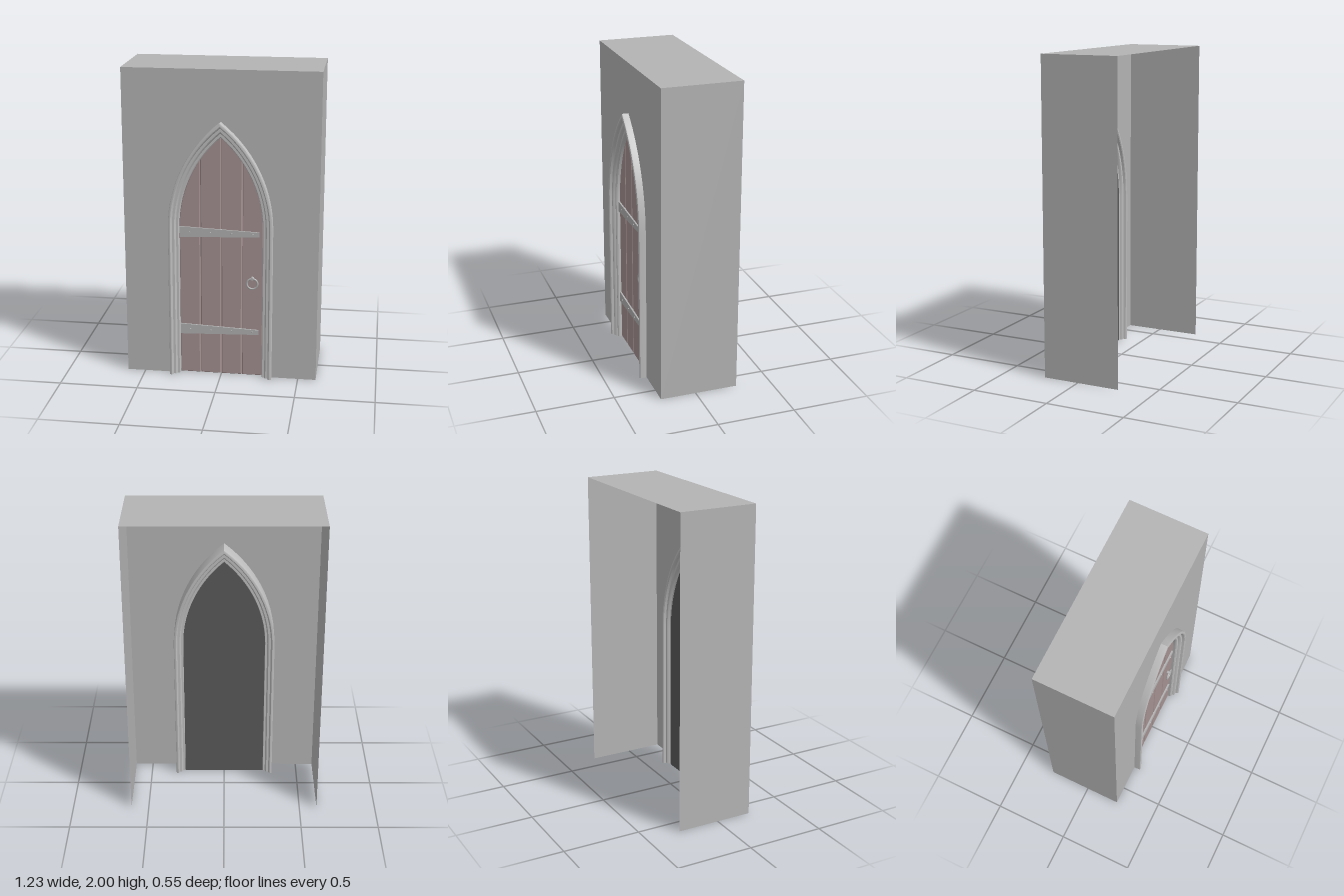
import * as THREE from 'three';
import { toCreasedNormals } from 'three/addons/utils/BufferGeometryUtils.js';

const SPRING = 1.0, INNER = 0.265, OUTER = 0.33, STEPS = 14;
const HALF_WIDTH = 0.615, FRONT = 0.23, BACK = -0.275, TOP = 2;

const mat = (name, color) => {
  const m = new THREE.MeshStandardMaterial({ color, side: THREE.DoubleSide });
  m.name = name;
  return m;
};

// Rise and radius of the pointed arch for a given half width
function archSize(w) {
  const h = 0.58 + (w - INNER) * 1.54;
  return { h, r: (w * w + h * h) / (2 * w) };
}

// Outline of the arch from the +x foot over the apex to the -x foot
function archPoints(w) {
  const { r } = archSize(w);
  const end = Math.acos((r - w) / r);
  const half = [new THREE.Vector2(w, 0)];
  for (let i = 0; i <= STEPS; i++) {
    const a = (end * i) / STEPS;
    half.push(new THREE.Vector2(w - r + r * Math.cos(a), SPRING + r * Math.sin(a)));
  }
  const mirrored = half.slice(0, -1).reverse().map((p) => new THREE.Vector2(-p.x, p.y));
  return [...half, ...mirrored];
}

// Height of the arch above a given x
function archHeight(w, x) {
  const { r } = archSize(w);
  const d = Math.abs(x) + r - w;
  return SPRING + Math.sqrt(Math.max(0, r * r - d * d));
}

// Sweep a closed (half width, z) profile along the arch
function archSweep(profile) {
  const rows = profile.map(([w]) => archPoints(w));
  const n = rows[0].length, pos = [], index = [];
  profile.forEach(([, z], i) => rows[i].forEach((p) => pos.push(p.x, p.y, z)));
  for (let i = 0; i < profile.length; i++) {
    const k = (i + 1) % profile.length;
    for (let j = 0; j < n - 1; j++) {
      const a = i * n + j, b = k * n + j;
      index.push(a, a + 1, b, b, a + 1, b + 1);
    }
  }
  const g = new THREE.BufferGeometry();
  g.setAttribute('position', new THREE.Float32BufferAttribute(pos, 3));
  g.setIndex(index);
  return toCreasedNormals(g, 0.5);
}

export function createModel() {
  const stone = mat('wall stone', 0xb3b3b3);
  const trim = mat('frame stone', 0xbebebe);
  const wood = mat('door wood', 0xa39090);
  const iron = mat('iron', 0xb1b1b1);
  const dark = mat('door backing', 0x595959);

  const model = new THREE.Group();
  model.name = 'archedDoorway';
  const add = (name, geometry, material, parent = model) => {
    const mesh = new THREE.Mesh(geometry, material);
    mesh.name = name;
    parent.add(mesh);
    return mesh;
  };

  // Wall: front with arched opening, two sides and a top; back and floor stay open
  const wall = new THREE.Group();
  wall.name = 'wall';
  model.add(wall);
  const face = new THREE.Shape([
    new THREE.Vector2(-HALF_WIDTH, 0), new THREE.Vector2(-HALF_WIDTH, TOP),
    new THREE.Vector2(HALF_WIDTH, TOP), new THREE.Vector2(HALF_WIDTH, 0),
    ...archPoints(OUTER - 0.005),
  ]);
  add('wallFront', new THREE.ShapeGeometry(face), stone, wall).position.z = FRONT;
  const depth = FRONT - BACK, midZ = (FRONT + BACK) / 2;
  for (const s of [-1, 1]) {
    const side = add(s > 0 ? 'wallLeft' : 'wallRight', new THREE.PlaneGeometry(depth, TOP), stone, wall);
    side.rotation.y = (s * Math.PI) / 2;
    side.position.set(s * HALF_WIDTH, TOP / 2, midZ);
  }
  const top = add('wallTop', new THREE.PlaneGeometry(2 * HALF_WIDTH, depth), stone, wall);
  top.rotation.x = -Math.PI / 2;
  top.position.set(0, TOP, midZ);

  // Moulded frame, stepped alike on its front and back
  const mid = 0.195;
  const frontHalf = [
    [INNER, 0.035], [0.27, 0.043], [0.283, 0.043], [0.287, 0.055], [0.292, 0.06],
    [0.306, 0.06], [0.31, 0.075], [0.315, 0.08], [0.322, 0.08], [0.328, 0.077], [OUTER, 0.07],
  ];
  const profile = [
    ...frontHalf.map(([w, z]) => [w, mid + z]),
    ...frontHalf.slice().reverse().map(([w, z]) => [w, mid - z]),
  ];
  const frame = new THREE.Group();
  frame.name = 'frame';
  model.add(frame);
  add('frameMoulding', archSweep(profile), trim, frame);
  const foot = new THREE.Shape(profile.map(([w, z]) => new THREE.Vector2(w, z)));
  for (const s of [-1, 1]) {
    const cap = add('frameFoot', new THREE.ShapeGeometry(foot).rotateX(Math.PI / 2), trim, frame);
    cap.scale.x = s;
  }

  // Door: four bevelled planks on a dark backing
  const door = new THREE.Group();
  door.name = 'door';
  model.add(door);
  const doorW = 0.268, edges = [-doorW, -0.134, 0, 0.134, doorW];
  for (let i = 0; i < 4; i++) {
    const x0 = edges[i] + (i > 0 ? 0.002 : 0), x1 = edges[i + 1] - (i < 3 ? 0.002 : 0);
    const pts = [new THREE.Vector2(x0, 0), new THREE.Vector2(x1, 0)];
    for (let j = 0; j <= 10; j++) {
      // Points crowd towards the outer edge, where the arch is steep
      const t = j / 10, u = x1 > 0.01 ? t * t : 1 - (1 - t) * (1 - t);
      pts.push(new THREE.Vector2(x1 + (x0 - x1) * u, archHeight(doorW, x1 + (x0 - x1) * u)));
    }
    const g = new THREE.ExtrudeGeometry(new THREE.Shape(pts), {
      depth: 0.044, bevelEnabled: true, bevelSegments: 1,
      bevelSize: 0.006, bevelOffset: -0.006, bevelThickness: 0.008,
    });
    add('plank', g, wood, door).position.z = 0.162;
  }
  add('doorBack', new THREE.ShapeGeometry(new THREE.Shape(archPoints(doorW))), dark, door).position.z = 0.151;

  // Tapered strap hinges with nails
  for (const y of [0.965, 0.307]) {
    const strap = new THREE.Group();
    strap.name = 'strapHinge';
    strap.position.set(0, y, 0.212);
    model.add(strap);
    const outline = new THREE.Shape([
      new THREE.Vector2(-0.262, -0.035), new THREE.Vector2(0.242, -0.018),
      new THREE.Vector2(0.242, 0.013), new THREE.Vector2(-0.262, 0.034),
    ]);
    add('strap', new THREE.ExtrudeGeometry(outline, { depth: 0.012, bevelEnabled: false }), iron, strap);
    for (const x of [-0.2, -0.067, 0.067, 0.2]) {
      const nail = add('nail', new THREE.CylinderGeometry(0.004, 0.006, 0.005, 8), iron, strap);
      nail.rotation.x = Math.PI / 2;
      nail.position.set(x, -0.001, 0.0145);
    }
  }

  // Ring handle hanging from a small stud
  const handle = new THREE.Group();
  handle.name = 'ringHandle';
  handle.position.set(0.2, 0.638, 0.228);
  model.add(handle);
  add('ring', new THREE.TorusGeometry(0.034, 0.006, 10, 32), iron, handle);
  const stud = add('stud', new THREE.CylinderGeometry(0.009, 0.011, 0.026, 12), iron, handle);
  stud.rotation.x = Math.PI / 2;
  stud.position.set(0, 0.034, -0.003);

  return model;
}
